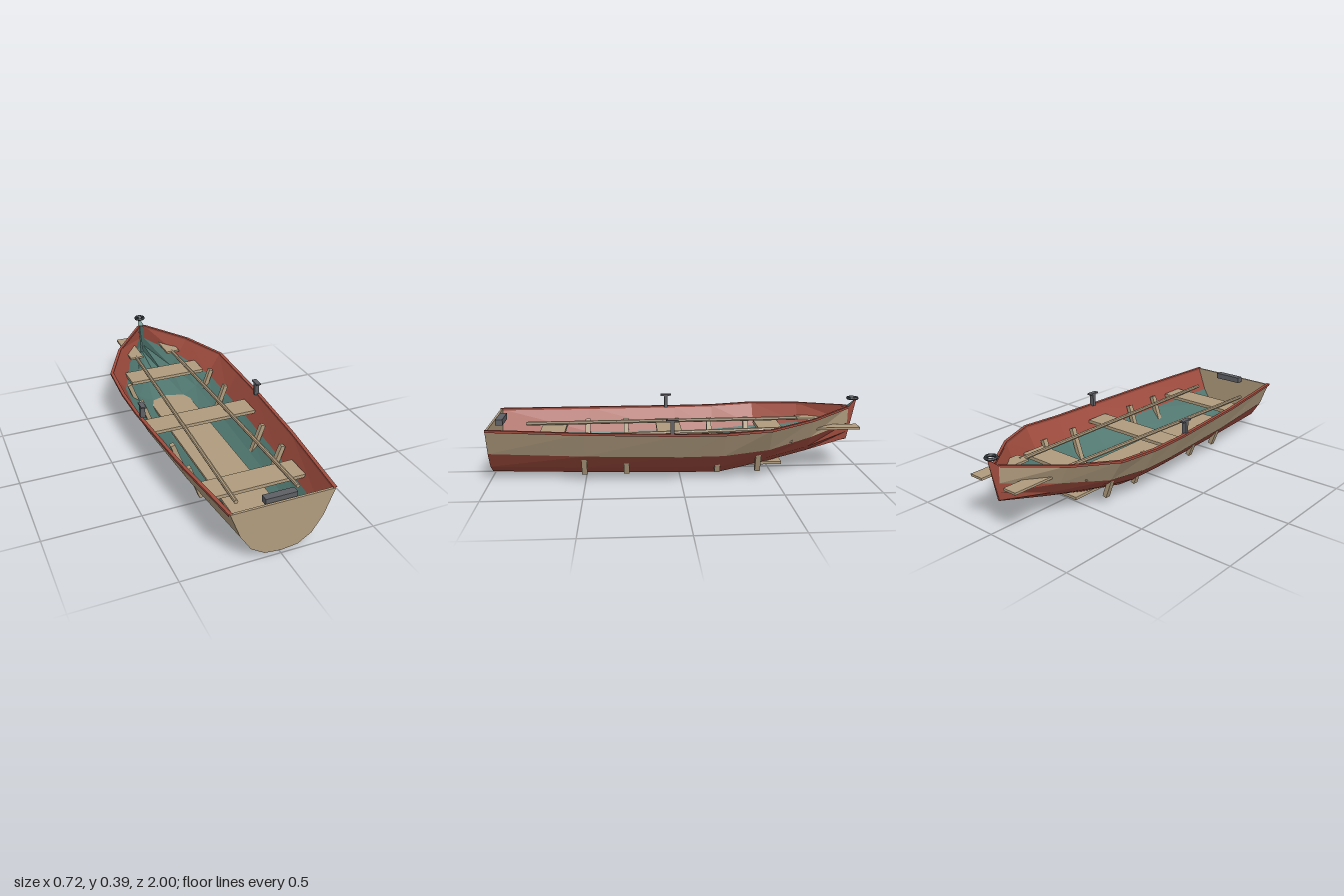
import * as THREE from 'three';

const mat = (name, color, side = THREE.FrontSide) => {
  const m = new THREE.MeshStandardMaterial({ color, side, flatShading: true });
  m.name = name;
  return m;
};

// Half cross-sections from transom to bow: z, then [x, y] from keel to sheer
const STATIONS = [
  [1.0, [[0, 0.02], [0.085, 0.03], [0.155, 0.075], [0.21, 0.16], [0.262, 0.296]]],
  [0.5, [[0, 0.01], [0.1, 0.019], [0.182, 0.07], [0.255, 0.15], [0.316, 0.286]]],
  [0.0, [[0, 0.003], [0.113, 0.012], [0.203, 0.068], [0.283, 0.145], [0.349, 0.28]]],
  [-0.22, [[0, 0.006], [0.115, 0.013], [0.205, 0.07], [0.286, 0.148], [0.353, 0.281]]],
  [-0.46, [[0, 0.053], [0.1, 0.06], [0.185, 0.105], [0.27, 0.172], [0.345, 0.296]]],
  [-0.7, [[0, 0.103], [0.055, 0.107], [0.11, 0.145], [0.165, 0.21], [0.222, 0.317]]],
  [-0.94, [[0, 0.155], [0.006, 0.16], [0.01, 0.2], [0.014, 0.25], [0.02, 0.34]]],
];
const APEX = [0, 0.386, -0.99];

// Full section, from the -x sheer down round the keel to the +x sheer
function fullSection([z, half], scale = 1, lift = 0) {
  const right = half.map(([x, y], i) => [x * scale, y + (i < 4 ? lift : 0), z]);
  const left = right.slice(1).reverse().map(([x, y]) => [-x, y, z]);
  return [...left, ...right];
}

// Flat-faced skin between successive sections, using the given columns only
function loft(sections, columns, flip = false) {
  const pos = [];
  const tri = (a, b, c) => pos.push(...a, ...(flip ? c : b), ...(flip ? b : c));
  for (let i = 0; i < sections.length - 1; i++) {
    const s = sections[i], t = sections[i + 1];
    for (const j of columns) {
      tri(s[j], t[j], t[j + 1]);
      if (t[j] !== t[j + 1] || t[j] !== APEX) tri(s[j], t[j + 1], s[j + 1]);
      else tri(s[j], t[j], s[j + 1]);
    }
  }
  const g = new THREE.BufferGeometry();
  g.setAttribute('position', new THREE.Float32BufferAttribute(pos, 3));
  g.computeVertexNormals();
  return g;
}

export function createModel() {
  const wood = mat('wood', 0xb09c7e);
  const red = mat('redPaint', 0xa04c3e);
  const teal = mat('tealPaint', 0x4f766f);
  const tealOpen = mat('tealPaint', 0x4f766f, THREE.DoubleSide);
  const metal = mat('greyMetal', 0x5e5f64);
  const iron = mat('darkIron', 0x3e444a);

  const boat = new THREE.Group();
  boat.name = 'rowingBoat';
  const add = (name, geometry, material, x = 0, y = 0, z = 0, parent = boat) => {
    const m = new THREE.Mesh(geometry, material);
    m.name = name;
    m.position.set(x, y, z);
    parent.add(m);
    return m;
  };
  const box = (name, material, w, h, d, x, y, z, parent) =>
    add(name, new THREE.BoxGeometry(w, h, d), material, x, y, z, parent);

  // Hull skins, painted in an upper strake and a lower body
  const upper = [0, 7], lower = [1, 2, 3, 4, 5, 6], all = [...upper, ...lower];
  const outer = STATIONS.map((s) => fullSection(s));
  const inner = STATIONS.map((s) => fullSection(s, 0.975, 0.005));
  add('outerUpperStrake', loft(outer, upper), wood);
  add('outerLowerHull', loft(outer, lower), red);
  add('innerUpperStrake', loft(inner, upper, true), red);
  add('innerLowerHull', loft(inner, lower, true), teal);

  // Stem running forward to a point
  const tip = Array(9).fill(APEX);
  add('stem', loft([outer[6], tip], all), red);
  add('stemLining', loft([inner[6], tip], all, true), tealOpen);
  const cap = [[outer[6][0], outer[6][8]], [APEX, APEX]];
  add('stemCap', loft(cap, [0]), tealOpen);

  // Transom
  const shape = new THREE.Shape(outer[0].map(([x, y]) => new THREE.Vector2(x, y)));
  add('transom', new THREE.ExtrudeGeometry(shape, { depth: 0.012, bevelEnabled: false }),
    wood, 0, 0, 0.988);

  // Gunwales along both sheer lines
  for (const side of [1, -1]) {
    const sections = STATIONS.map(([z, half]) => {
      const [x, y] = half[4];
      return [[0.006, 0.004], [-0.012, 0.004], [-0.012, -0.008], [0.006, -0.008], [0.006, 0.004]]
        .map(([dx, dy]) => [side * (x + dx), y + dy, z]);
    });
    add(side > 0 ? 'leftGunwale' : 'rightGunwale', loft(sections, [0, 1, 2, 3], side < 0), red);
  }

  // Floor and the three thwarts
  box('floorBoard', wood, 0.24, 0.015, 1.375, 0, 0.057, 0.132);
  for (const [halfWidth, z] of [[0.225, -0.52], [0.297, 0.047], [0.25, 0.688]]) {
    box('thwart', wood, halfWidth * 2, 0.018, 0.136, 0, 0.207, z);
  }

  for (const side of [1, -1]) {
    const word = side > 0 ? 'left' : 'right';

    // Leaning ribs
    for (const z of [-0.41, -0.195, 0.285, 0.505]) {
      const rib = box(word + 'Rib', wood, 0.024, 0.2, 0.028, side * 0.223, 0.135, z);
      rib.rotation.z = -side * 0.347;
    }

    // Oarlock: post with a cross plate
    const lock = new THREE.Group();
    lock.name = word + 'Oarlock';
    lock.position.set(side * 0.332, 0, 0.05);
    box('oarlockPost', metal, 0.026, 0.075, 0.02, 0, 0.315, 0, lock);
    box('oarlockPlate', metal, 0.026, 0.008, 0.062, 0, 0.351, 0, lock);
    boat.add(lock);

    // Oar: shaft laid over the thwarts, flat blade at the bow
    const oar = new THREE.Group();
    oar.name = word + 'Oar';
    const a = new THREE.Vector3(side * 0.16, 0.23, 0.845);
    const b = new THREE.Vector3(side * 0.117, 0.25, -0.7);
    const shaft = add('oarShaft', new THREE.CylinderGeometry(0.011, 0.011, a.distanceTo(b), 8),
      wood, 0, 0, 0, oar);
    shaft.position.copy(a).lerp(b, 0.5);
    shaft.quaternion.setFromUnitVectors(new THREE.Vector3(0, 1, 0), b.clone().sub(a).normalize());
    box('oarBlade', wood, 0.08, 0.012, 0.29, side * 0.117, 0.252, -0.825, oar);
    boat.add(oar);
  }

  // Fittings: stern block and bow ring
  box('sternBlock', metal, 0.16, 0.032, 0.038, 0, 0.295, 0.957);
  const ring = add('bowRing', new THREE.TorusGeometry(0.026, 0.008, 6, 12), iron, 0, 0.386, -0.966);
  ring.rotation.x = Math.PI / 2;

  return boat;
}
